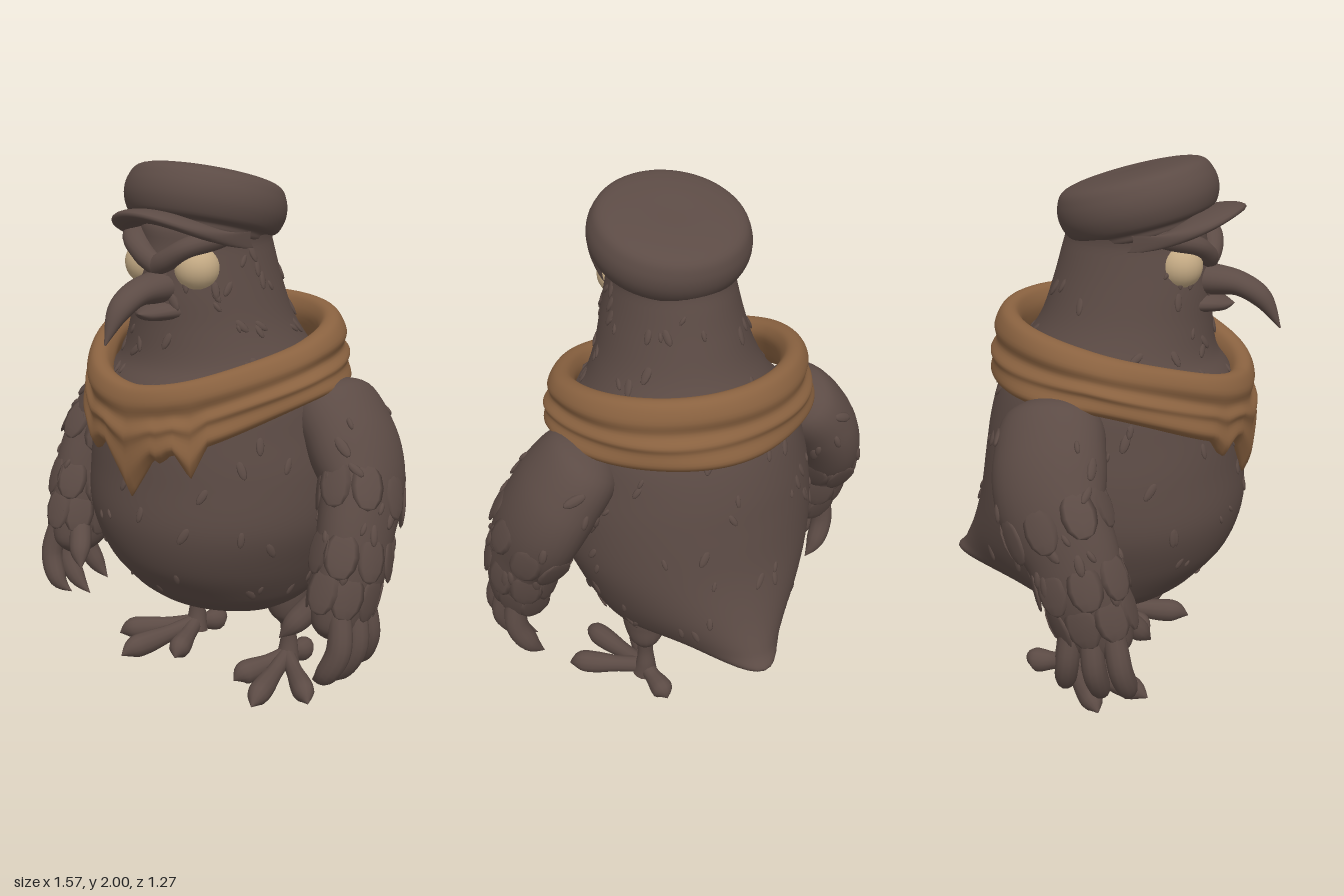
import * as THREE from 'three';
import { mergeGeometries } from 'three/addons/utils/BufferGeometryUtils.js';

const TAU = Math.PI * 2;

// Smooth interpolation through rows of numbers, t in 0..1
function sample(rows, t) {
  const f = Math.min(Math.max(t, 0), 1) * (rows.length - 1);
  const i = Math.min(Math.floor(f), rows.length - 2), w = f - i;
  const at = k => rows[Math.min(Math.max(k, 0), rows.length - 1)];
  const [a, b, c, d] = [at(i - 1), at(i), at(i + 1), at(i + 2)];
  return b.map((_, k) => b[k] + 0.5 * w * (c[k] - a[k] +
    w * (2 * a[k] - 5 * b[k] + 4 * c[k] - d[k] + w * (3 * (b[k] - c[k]) + d[k] - a[k]))));
}

// Surface from a function of u (closed loop) and v
function grid(fn, nu, nv) {
  const pos = [], idx = [];
  for (let j = 0; j <= nv; j++) for (let i = 0; i < nu; i++) pos.push(...fn(i / nu, j / nv).toArray());
  for (let j = 0; j < nv; j++) for (let i = 0; i < nu; i++) {
    const a = j * nu + i, b = j * nu + (i + 1) % nu;
    idx.push(a, b, a + nu, b, b + nu, a + nu);
  }
  const g = new THREE.BufferGeometry();
  g.setAttribute('position', new THREE.Float32BufferAttribute(pos, 3));
  g.setIndex(idx);
  g.computeVertexNormals();
  return g;
}

// Limb surface: rows are [x, y, z, radius along hint, other radius]
function limb(rows, hint = new THREE.Vector3(1, 0, 0)) {
  const point = v => new THREE.Vector3(...sample(rows, v).slice(0, 3));
  return (u, v) => {
    const r = sample(rows, v), a = u * TAU;
    const t = point(v + 0.01).sub(point(v - 0.01)).normalize();
    const n = hint.clone().addScaledVector(t, -hint.dot(t)).normalize();
    const b = t.clone().cross(n);
    return point(v).addScaledVector(n, Math.max(r[3], 0) * Math.cos(a))
      .addScaledVector(b, Math.max(r[4], 0) * Math.sin(a));
  };
}
const limbGeo = (rows, hint, nu = 16, nv = 20) => grid(limb(rows, hint), nu, nv);

function mirrored(geo) {
  const g = geo.clone().scale(-1, 1, 1), ix = g.index.array;
  for (let i = 0; i < ix.length; i += 3) [ix[i], ix[i + 1]] = [ix[i + 1], ix[i]];
  return g;
}

let seed = 7;
const rand = () => (seed = (seed * 16807) % 2147483647) / 2147483647;

// Flat leaf-like feathers lying on a surface; down is +1 if v grows downward
function feathers(fn, spots, down, w, l, t, vary = 0) {
  return mergeGeometries(spots.map(([u, v]) => {
    const p = fn(u, v);
    const du = fn(u + 0.005, v).sub(fn(u - 0.005, v));
    const dv = fn(u, v + 0.005).sub(fn(u, v - 0.005));
    const n = du.cross(dv).normalize(), d = dv.multiplyScalar(down).normalize();
    const m = new THREE.Matrix4().makeBasis(d.clone().cross(n), d, n).setPosition(p);
    const s = 1 + vary * (rand() - 0.5);
    return new THREE.SphereGeometry(1, 8, 6).scale(w * s, l * s, t)
      .rotateX(0.15).rotateZ(vary * 1.6 * (rand() - 0.5)).applyMatrix4(m);
  }));
}

export function createModel() {
  const model = new THREE.Group();
  const mat = (name, color) => Object.assign(new THREE.MeshStandardMaterial({ color }), { name });
  const plumage = mat('dark brown plumage', 0x5c4b45);
  const cloth = mat('tan cloth', 0x8a6240);
  const ivory = mat('ivory eye', 0xc4aa84);
  const add = (name, geo, material) => {
    const m = new THREE.Mesh(geo, material);
    m.name = name;
    model.add(m);
  };
  const pair = (name, geo, material) => {
    add(name + 'Left', geo, material);
    add(name + 'Right', mirrored(geo), material);
  };

  // Body, neck and head: [y, half width, front z, back z, tail reach]
  const bodyRows = [
    [0.275, 0, -0.05, -0.05, 0], [0.29, 0.19, 0.1, -0.2, 0.02], [0.34, 0.29, 0.24, -0.31, 0.16],
    [0.385, 0.345, 0.31, -0.37, 0.26], [0.44, 0.385, 0.37, -0.42, 0.18], [0.56, 0.44, 0.465, -0.47, 0.075],
    [0.72, 0.49, 0.515, -0.475, 0.02], [0.9, 0.49, 0.505, -0.46, 0.005], [1.05, 0.465, 0.49, -0.44, 0],
    [1.2, 0.43, 0.46, -0.395, 0], [1.3, 0.35, 0.4, -0.33, 0], [1.42, 0.29, 0.38, -0.25, 0],
    [1.56, 0.25, 0.375, -0.2, 0], [1.7, 0.22, 0.355, -0.16, 0], [1.8, 0.205, 0.32, -0.12, 0], [1.86, 0, 0.1, 0.1, 0],
  ];
  const body = (u, v) => {
    const [y, rx, zf, zb, tail] = sample(bodyRows, v), c = Math.cos(u * TAU), s = Math.sin(u * TAU);
    const reach = Math.max(tail, 0) * Math.pow(Math.max(s, 0), 2 + 24 * Math.max(tail, 0));
    return new THREE.Vector3(rx * c, y, (zf + zb) / 2 - s * (zf - zb) / 2 - reach);
  };
  add('body', grid(body, 80, 90), plumage);
  const spots = Array.from({ length: 150 }, () => [rand(), 0.26 + 0.6 * rand()]);
  add('bodyFeathers', feathers(body, spots, -1, 0.012, 0.028, 0.007, 0.9), plumage);

  // Wings with overlapping feather rows and clawed fingers
  const wing = limb([
    [0.38, 1.23, -0.08, 0, 0], [0.43, 1.16, -0.07, 0.125, 0.16], [0.53, 1.04, -0.055, 0.145, 0.2],
    [0.605, 0.9, -0.025, 0.138, 0.198], [0.64, 0.75, 0.055, 0.125, 0.17], [0.648, 0.62, 0.1, 0.12, 0.155],
    [0.645, 0.5, 0.14, 0.1, 0.135], [0.64, 0.41, 0.15, 0.075, 0.11], [0.64, 0.35, 0.15, 0, 0],
  ]);
  pair('wing', grid(wing, 32, 48), plumage);
  [[0.42, 8], [0.58, 8], [0.71, 8]].forEach(([v, n], k) => {
    const ring = Array.from({ length: n }, (_, i) => [(i + (k % 2) / 2) / n, v]);
    pair('wingFeatherRow' + (k + 1), feathers(wing, ring, 1, 0.062, 0.085, 0.01), plumage);
  });
  const wingSpots = Array.from({ length: 30 }, () => [rand(), 0.2 + 0.5 * rand()]);
  pair('wingFeathers', feathers(wing, wingSpots, 1, 0.015, 0.034, 0.01, 0.7), plumage);
  const fingers = [
    [[0.69, 0.5, 0.22], [0.71, 0.37, 0.25], [0.665, 0.27, 0.265], [0.6, 0.225, 0.25]],
    [[0.7, 0.5, 0.14], [0.72, 0.36, 0.16], [0.66, 0.25, 0.165], [0.585, 0.19, 0.16]],
    [[0.69, 0.5, 0.07], [0.705, 0.37, 0.06], [0.665, 0.27, 0.04], [0.61, 0.21, 0.03]],
    [[0.6, 0.53, 0.19], [0.56, 0.47, 0.23], [0.525, 0.42, 0.27], [0.49, 0.37, 0.3]],
  ];
  pair('fingers', mergeGeometries(fingers.map(([a, b, c, d]) => limbGeo([[...a, 0.04, 0.04],
    [...b, 0.045, 0.042], [...c, 0.038, 0.035], [...d, 0, 0]], undefined, 12, 16))), plumage);

  // Legs and splayed feet
  pair('thigh', limbGeo([[0.23, 0.42, -0.1, 0.09, 0.09], [0.23, 0.32, -0.1, 0.085, 0.085],
    [0.235, 0.25, -0.11, 0.066, 0.07], [0.235, 0.2, -0.11, 0.03, 0.03]]), plumage);
  pair('shin', limbGeo([[0.235, 0.26, -0.11, 0.042, 0.042], [0.235, 0.17, -0.11, 0.031, 0.031],
    [0.235, 0.1, -0.11, 0.038, 0.038], [0.235, 0.04, -0.1, 0.05, 0.05]]), plumage);
  const toe = ([x, z]) => {
    const at = (k, y, r) => [0.235 + (x - 0.235) * k, y, -0.1 + (z + 0.1) * k, r, r * 0.9];
    return limbGeo([at(0, 0.07, 0.035), at(0.35, 0.055, 0.035), at(0.65, 0.045, 0.046),
      at(0.85, 0.04, 0.042), at(1, 0.02, 0)], new THREE.Vector3(0, 1, 0), 12, 16);
  };
  pair('toes', mergeGeometries([[0.48, 0.1], [0.33, 0.25], [0.15, 0.13], [0.22, -0.27]].map(toe)), plumage);

  // Hooked beak, lower bill, eyes and frowning brows
  add('upperBeak', limbGeo([[0, 1.57, 0.28, 0.085, 0.065], [0, 1.57, 0.38, 0.072, 0.055],
    [0, 1.56, 0.48, 0.058, 0.043], [0, 1.51, 0.565, 0.042, 0.035], [0, 1.41, 0.63, 0.003, 0.003]],
  undefined, 24, 24), plumage);
  add('lowerBeak', limbGeo([[0, 1.49, 0.28, 0.12, 0.035], [0, 1.49, 0.37, 0.095, 0.035],
    [0, 1.485, 0.43, 0.05, 0.022], [0, 1.49, 0.465, 0, 0]]), plumage);
  pair('eye', new THREE.SphereGeometry(0.081, 24, 16).translate(0.113, 1.638, 0.288), ivory);
  pair('brow', limbGeo([[-0.01, 1.64, 0.37, 0.035, 0.03], [0.05, 1.67, 0.365, 0.038, 0.04],
    [0.12, 1.715, 0.335, 0.036, 0.048], [0.18, 1.738, 0.265, 0.034, 0.042], [0.215, 1.73, 0.17, 0, 0]],
  new THREE.Vector3(0, 1, 0)), plumage);

  // Flat cap, tipped up at the front: [radius, height]
  const capRows = [[0.19, -0.15], [0.222, -0.13], [0.232, -0.105], [0.268, -0.09], [0.29, -0.035],
    [0.283, 0.025], [0.245, 0.072], [0.13, 0.09], [0, 0.088]];
  const cap = (u, v) => {
    const [r, y] = sample(capRows, v);
    return new THREE.Vector3(r * Math.cos(u * TAU), y, -r * Math.sin(u * TAU));
  };
  add('cap', grid(cap, 56, 40).rotateX(-0.26).translate(0, 1.858, 0.1), plumage);
  const brim = (u, v) => {
    const a = (v - 0.5) * 3.1, c = Math.max(Math.cos(a), 0), s = Math.sin(a);
    const out = 0.5 + 0.5 * Math.cos(u * TAU);
    return new THREE.Vector3(0.24 * s, 1.8 + 0.03 * out - 0.085 * s * s - 0.025 * Math.sin(u * TAU),
      0.12 + 0.19 * c + 0.18 * out * Math.pow(c, 0.45));
  };
  add('capBrim', grid(brim, 20, 48), plumage);

  // Rolled scarf with a ragged front hem: [radius factor, height from hem to rim]
  const scarfRows = [[0.94, 0.0], [0.98, 0.0], [1.03, 0.12], [1.005, 0.3], [1.015, 0.42], [0.965, 0.56], [0.98, 0.75],
    [0.93, 0.95], [0.86, 1.0], [0.8, 0.93], [0.77, 0.7], [0.84, 0.3], [0.94, 0.0]];
  const tatters = [[0, 0.16, 0.22], [0.52, 0.1, 0.13], [-0.45, 0.06, 0.13], [0.27, 0.03, 0.09]];
  const scarf = (u, v) => {
    const a = u * TAU, s = Math.sin(a), c = Math.cos(a), [f, h] = sample(scarfRows, v);
    const front = Math.max(-s, 0), phi = Math.atan2(c, -s);
    const hem = 1.195 - 0.185 * Math.pow(front, 1.5);
    let drop = 0;
    for (const [at, depth, width] of tatters) drop += depth * Math.max(0, 1 - Math.abs(phi - at) / width);
    const rim = 1.25 + 0.21 * Math.pow((s + 1) / 2, 0.7) + 0.02 * c * c;
    const r = f + 0.05 * front * h + 0.012 * Math.sin(5 * a + 7 * h) * (1 - h);
    const x = 0.495 * r * c * (1 - 0.32 * front * front * c * c);
    return new THREE.Vector3(x, hem + (rim - hem) * h - drop * Math.pow(1 - Math.min(Math.max(h, 0), 1), 3),
      0.055 - 0.478 * r * s);
  };
  add('scarf', grid(scarf, 144, 48), cloth);

  return model;
}
